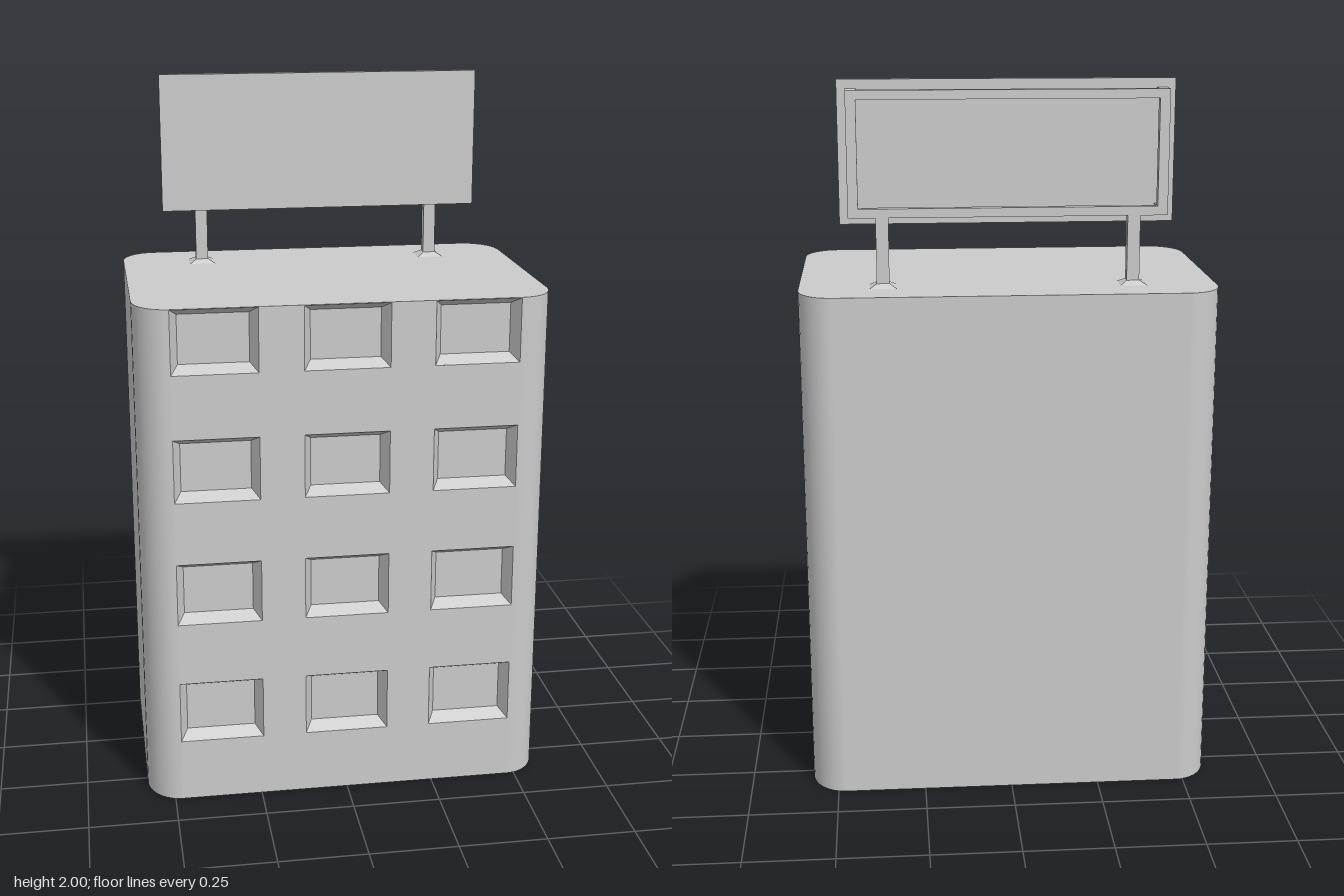
import * as THREE from 'three';

const W = 0.575, D = 0.383, H = 1.445;   // building half width, half depth, height
const FLAT_X = 0.48, FLAT_Z = 0.27;      // where the rounded corners begin
const grey = new THREE.MeshStandardMaterial({ color: 0xcccccc });

function add(parent, name, geometry, x = 0, y = 0, z = 0) {
  const mesh = new THREE.Mesh(geometry, grey);
  mesh.name = name;
  mesh.position.set(x, y, z);
  parent.add(mesh);
  return mesh;
}

// Rounded plan outline, from the front right end round the back to the front left end
function planOutline() {
  const points = [], steps = 10;
  const signs = [[1, 1], [1, -1], [-1, -1], [-1, 1]];
  signs.forEach(([sx, sz], corner) => {
    for (let i = 0; i <= steps; i++) {
      const t = (corner % 2 ? steps - i : i) / steps * Math.PI / 2;
      points.push(new THREE.Vector2(
        sx * (FLAT_X + (W - FLAT_X) * Math.sin(t)),
        sz * (FLAT_Z + (D - FLAT_Z) * Math.cos(t))));
    }
  });
  return points;
}

// Smooth wall strip covering the sides, back and corners
function wallGeometry(outline) {
  const position = [], index = [];
  outline.forEach((p, i) => {
    position.push(p.x, 0, p.y, p.x, H, p.y);
    if (i < outline.length - 1) {
      const a = i * 2;
      index.push(a, a + 2, a + 1, a + 1, a + 2, a + 3);
    }
  });
  const g = new THREE.BufferGeometry();
  g.setAttribute('position', new THREE.Float32BufferAttribute(position, 3));
  g.setIndex(index);
  g.computeVertexNormals();
  return g;
}

function rectangle(Type, x0, y0, x1, y1) {
  const r = new Type();
  r.moveTo(x0, y0);
  r.lineTo(x1, y0);
  r.lineTo(x1, y1);
  r.lineTo(x0, y1);
  r.closePath();
  return r;
}

// Inward-facing box without a front, tapering towards its back
function recessGeometry(w, h, depth, inset) {
  const g = new THREE.BoxGeometry(w, h, depth);
  const p = g.attributes.position;
  for (let i = 0; i < p.count; i++) {
    if (p.getZ(i) < 0) {
      p.setX(i, p.getX(i) - Math.sign(p.getX(i)) * inset);
      p.setY(i, p.getY(i) - Math.sign(p.getY(i)) * inset);
    }
  }
  const index = Array.from(g.index.array);
  index.splice(24, 6);
  g.setIndex(index.reverse());
  g.clearGroups();
  g.computeVertexNormals();
  return g;
}

function createBuilding() {
  const building = new THREE.Group();
  building.name = 'building';
  const outline = planOutline();
  add(building, 'walls', wallGeometry(outline));

  const plan = new THREE.ShapeGeometry(new THREE.Shape(outline));
  add(building, 'roof', plan.clone().rotateX(-Math.PI / 2), 0, H);
  add(building, 'floor', plan.clone().rotateX(Math.PI / 2));

  // Front wall with a grid of recessed windows
  const front = rectangle(THREE.Shape, -FLAT_X, 0, FLAT_X, H);
  const w = 0.236, h = 0.18, depth = 0.04;
  const recess = recessGeometry(w, h, depth, 0.021);
  for (let row = 0; row < 4; row++) {
    for (let col = -1; col <= 1; col++) {
      const x = col * 0.359 - 0.002, y = 0.272 + row * 0.3605;
      front.holes.push(rectangle(THREE.Path, x - w / 2, y - h / 2, x + w / 2, y + h / 2));
      add(building, 'window', recess, x, y, D - depth / 2);
    }
  }
  add(building, 'frontWall', new THREE.ShapeGeometry(front), 0, 0, D);
  return building;
}

function createBillboard() {
  const board = new THREE.Group();
  board.name = 'billboard';
  add(board, 'panel', new THREE.BoxGeometry(0.92, 0.39, 0.024), 0, 1.805, -0.167);

  // Open frame behind the panel
  const frame = rectangle(THREE.Shape, -0.436, 1.635, 0.436, 1.975);
  frame.holes.push(rectangle(THREE.Path, -0.408, 1.66, 0.408, 1.95));
  add(board, 'backFrame',
    new THREE.ExtrudeGeometry(frame, { depth: 0.025, bevelEnabled: false }), 0, 0, -0.243);

  // Spacers, posts and flared post feet on each side
  const foot = new THREE.CylinderGeometry(0.025, 0.055, 0.012, 4, 1, true).rotateY(Math.PI / 4).toNonIndexed();
  foot.computeVertexNormals();
  for (const side of [-1, 1]) {
    for (const y of [1.6475, 1.9625]) {
      add(board, 'spacer', new THREE.BoxGeometry(0.028, 0.025, 0.041), side * 0.422, y, -0.199);
    }
    add(board, 'post', new THREE.BoxGeometry(0.035, 0.2, 0.028), side * 0.344, 1.54, -0.227);
    add(board, 'postFoot', foot, side * 0.344, H + 0.005, -0.227);
  }
  return board;
}

export function createModel() {
  const model = new THREE.Group();
  model.name = 'buildingWithBillboard';
  model.add(createBuilding(), createBillboard());
  return model;
}
